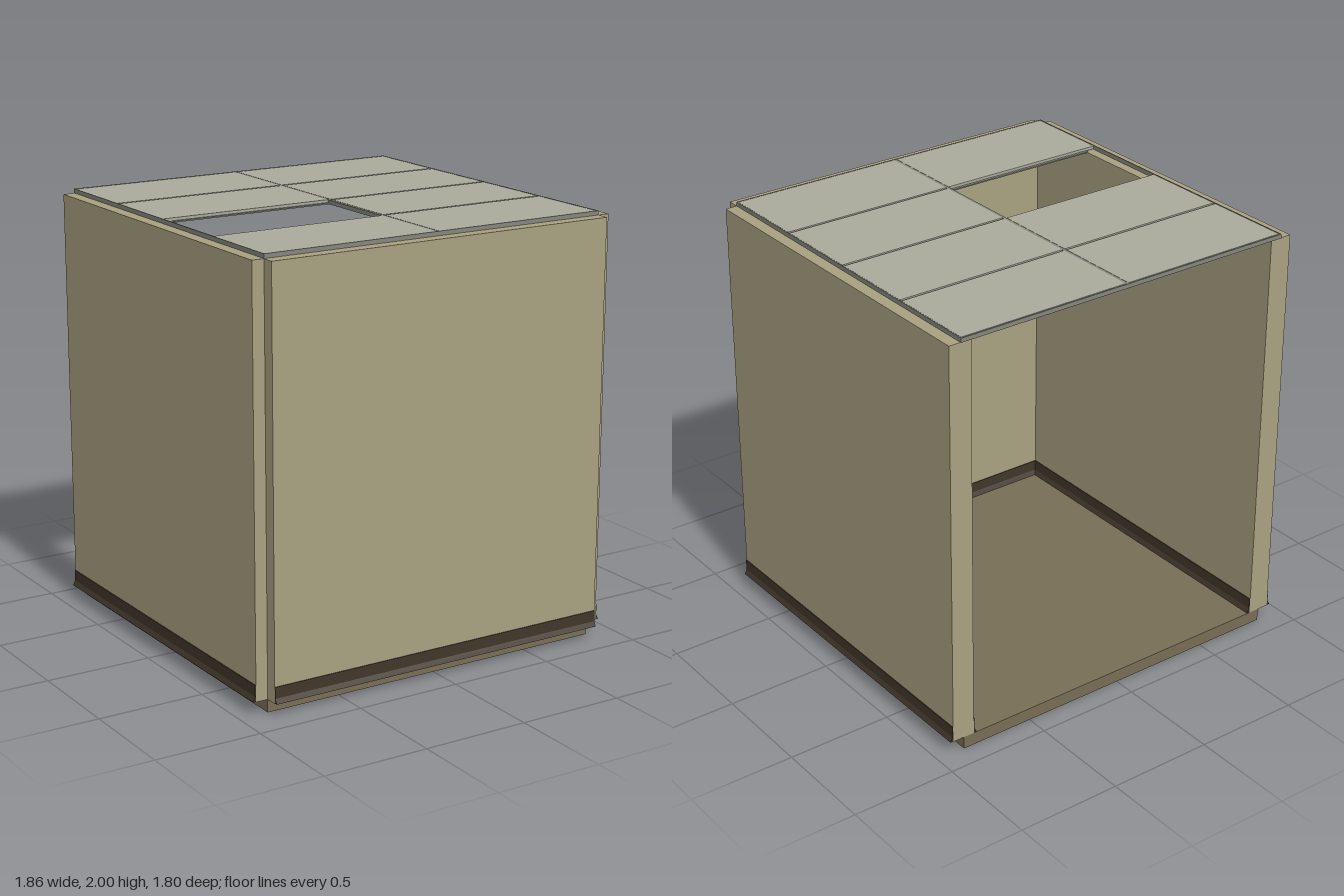
import * as THREE from 'three';

const mat = (name, color) => {
  const m = new THREE.MeshStandardMaterial({ color });
  m.name = name;
  return m;
};

export function createModel() {
  const room = new THREE.Group();
  room.name = 'room';
  const wallTan = mat('wall tan', 0xa8a180);
  const floorBrown = mat('floor brown', 0x786e55);
  const skirtingBrown = mat('skirting dark brown', 0x40372a);
  const tileGrey = mat('ceiling tile grey', 0xaaaa9c);
  const railGrey = mat('ceiling rail grey', 0x85867c);

  // Box given by its minimum and maximum corners
  const box = (name, material, [x0, y0, z0], [x1, y1, z1]) => {
    const mesh = new THREE.Mesh(new THREE.BoxGeometry(x1 - x0, y1 - y0, z1 - z0), material);
    mesh.position.set((x0 + x1) / 2, (y0 + y1) / 2, (z0 + z1) / 2);
    mesh.name = name;
    room.add(mesh);
  };

  // Skirting board with a small flared foot, facing the direction set by turn
  const skirting = (name, length, x, z, turn) => {
    const profile = new THREE.Shape([
      [0, 0.062], [0.015, 0.062], [0.004, 0.085], [0.004, 0.137], [0, 0.137],
    ].map(([a, b]) => new THREE.Vector2(a, b)));
    const geometry = new THREE.ExtrudeGeometry(profile, { depth: length, bevelEnabled: false });
    geometry.translate(0, 0, -length / 2);
    const mesh = new THREE.Mesh(geometry, skirtingBrown);
    mesh.position.set(x, 0, z);
    mesh.rotation.y = turn;
    mesh.name = name;
    room.add(mesh);
  };

  const back = -0.895, front = 0.825, mid = (back + front) / 2;

  // Floor slab
  box('floor', floorBrown, [-0.86, 0, back], [0.86, 0.06, front]);

  // Three walls, open at the back
  box('leftWall', wallTan, [0.807, 0.06, back], [0.917, 1.98, front]);
  box('rightWall', wallTan, [-0.917, 0.06, back], [-0.807, 1.98, front]);
  box('frontWall', wallTan, [-0.86, 0.06, 0.775], [0.86, 1.98, 0.885]);

  // Skirting outside and inside each wall
  for (const [side, s] of [['left', 1], ['right', -1]]) {
    skirting(side + 'OuterSkirting', 1.72, s * 0.917, mid, s > 0 ? 0 : Math.PI);
    skirting(side + 'InnerSkirting', 1.67, s * 0.807, mid - 0.025, s > 0 ? Math.PI : 0);
  }
  skirting('frontOuterSkirting', 1.72, 0, 0.885, -Math.PI / 2);
  skirting('frontInnerSkirting', 1.614, 0, 0.775, Math.PI / 2);

  // Ceiling tiles in a two by four grid with one left out
  const pitch = 0.43;
  for (let row = 0; row < 4; row++) {
    for (const s of [-1, 1]) {
      if (row === 2 && s === -1) continue;
      const z = back + pitch * (row + 0.5);
      box('ceilingTile', tileGrey,
        [s * 0.43 - 0.423, 1.984, z - 0.209], [s * 0.43 + 0.423, 1.999, z + 0.209]);
    }
  }

  // Rails between the tiles
  for (let row = 1; row < 4; row++) {
    const z = back + pitch * row;
    box('crossRail', railGrey, [-0.807, 1.98, z - 0.008], [0.807, 1.986, z + 0.008]);
  }
  box('mainRail', railGrey, [-0.007, 1.979, back], [0.007, 1.998, front]);

  // Edge trim around the ceiling
  for (const s of [-1, 1]) {
    box('sideTrim', railGrey, [s * 0.8575 - 0.0025, 1.98, back], [s * 0.8575 + 0.0025, 2, front]);
  }
  box('backTrim', railGrey, [-0.86, 1.98, -0.9], [0.86, 2, -0.894]);
  box('frontTrim', railGrey, [-0.86, 1.98, 0.82], [0.86, 2, front]);

  return room;
}
